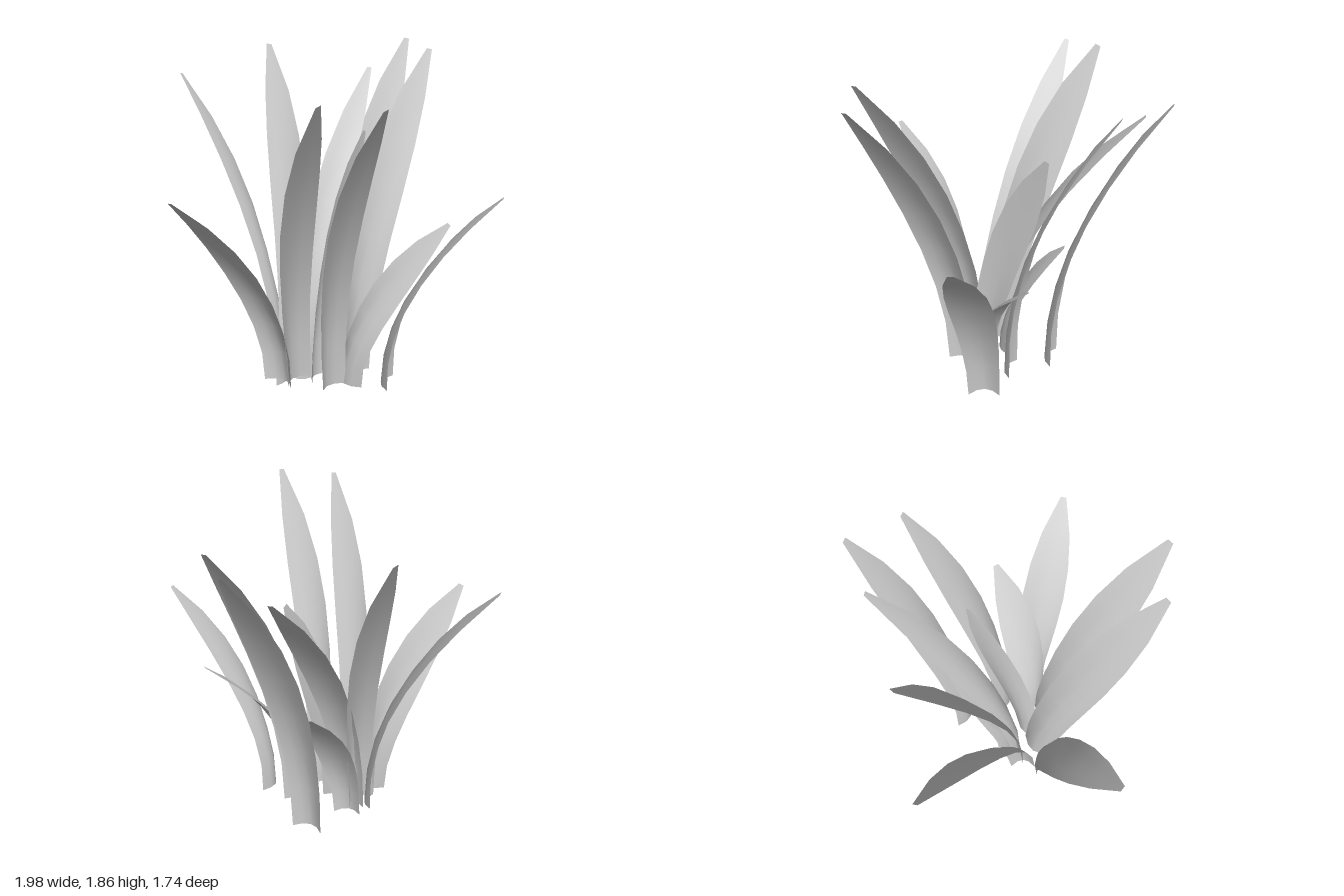
import * as THREE from 'three';

// Stations along a blade: [fraction of height, fraction of full width]
const STATIONS = [[0, 0.74], [0.15, 0.78], [0.3, 0.86], [0.45, 0.95], [0.6, 1], [0.74, 0.92], [0.87, 0.66], [1, 0.13]];
const ACROSS = 4;

// Each leaf: base point, tip point, heading of the bend (x, z), widest width
const LEAVES = [
  { base: [-0.14, 0.01, 0.21], tip: [-0.99, 1.69, 0.08], bend: [-0.89, 0.45], width: 0.20 },
  { base: [-0.11, 0.06, 0.14], tip: [-0.61, 1.85, -0.26], bend: [-1, -0.12], width: 0.26 },
  { base: [-0.09, 0.01, 0.16], tip: [-0.20, 1.69, -0.69], bend: [-0.4, -0.92], width: 0.20 },
  { base: [-0.06, 0.06, -0.22], tip: [-0.06, 1.85, -0.87], bend: [-0.2, -0.98], width: 0.24 },
  { base: [0.14, 0.06, -0.05], tip: [0.20, 1.85, -0.70], bend: [-0.18, -0.98], width: 0.24 },
  { base: [0.20, 0.06, 0.11], tip: [0.56, 0.97, -0.38], bend: [0.3, -0.95], width: 0.25 },
  { base: [0.36, 0.06, -0.03], tip: [0.98, 1.28, -0.18], bend: [0.92, -0.38], width: 0.24 },
  { base: [0.14, 0.06, 0.19], tip: [0.715, 1.85, 0.52], bend: [1, 0.08], width: 0.26 },
  { base: [-0.07, 0.06, 0.24], tip: [0.43, 1.85, 0.65], bend: [1, 0.08], width: 0.26 },
  { base: [-0.10, 0.06, 0.28], tip: [-0.34, 1.27, 0.87], bend: [0, 1], width: 0.26 },
  { base: [0.01, 0.06, 0.14], tip: [0.065, 1.45, -0.26], bend: [1, 0], width: 0.22 },
  { base: [-0.10, 0.00, 0.10], tip: [-0.12, 0.83, -0.30], bend: [-0.4, -0.92], width: 0.21 },
];

// Arching blade, domed at the base and flattening towards the tip
function leafGeometry({ base, tip, bend, width }) {
  const start = new THREE.Vector3(...base);
  const reach = new THREE.Vector3(...tip).sub(start);
  const out = new THREE.Vector3(bend[0], 0, bend[1]).normalize();
  const side = new THREE.Vector3(out.z, 0, -out.x);
  const bendReach = reach.dot(out), sideReach = reach.dot(side);

  const spine = (t) => start.clone()
    .addScaledVector(out, bendReach * t ** 2)
    .addScaledVector(side, sideReach * t ** 1.6)
    .add(new THREE.Vector3(0, reach.y * t, 0));

  const positions = [], indices = [];
  STATIONS.forEach(([t, w], row) => {
    const centre = spine(t);
    const tangent = spine(t + 0.01).sub(spine(Math.max(t - 0.01, 0))).normalize();
    const across = side.clone().addScaledVector(tangent, -side.dot(tangent)).normalize();
    const outward = new THREE.Vector3().crossVectors(across, tangent).normalize();
    if (outward.dot(out) < 0) outward.negate();
    const dome = 0.3 * (1 - t) ** 1.5;
    for (let i = 0; i <= ACROSS; i++) {
      const u = (i / ACROSS) * 2 - 1;
      const p = centre.clone()
        .addScaledVector(across, u * w * width / 2)
        .addScaledVector(outward, u * u * w * width * dome);
      positions.push(p.x, p.y, p.z);
      if (row > 0 && i > 0) {
        const d = row * (ACROSS + 1) + i, c = d - 1;
        const b = d - ACROSS - 1, a = b - 1;
        indices.push(a, c, b, b, c, d);
      }
    }
  });

  const geometry = new THREE.BufferGeometry();
  geometry.setAttribute('position', new THREE.Float32BufferAttribute(positions, 3));
  geometry.setIndex(indices);
  geometry.computeVertexNormals();
  return geometry;
}

export function createModel() {
  const plant = new THREE.Group();
  plant.name = 'leafyPlant';
  const material = new THREE.MeshStandardMaterial({ color: 0xcccccc, side: THREE.DoubleSide });
  LEAVES.forEach((leaf, i) => {
    const mesh = new THREE.Mesh(leafGeometry(leaf), material);
    mesh.name = `leaf${i + 1}`;
    plant.add(mesh);
  });
  return plant;
}
